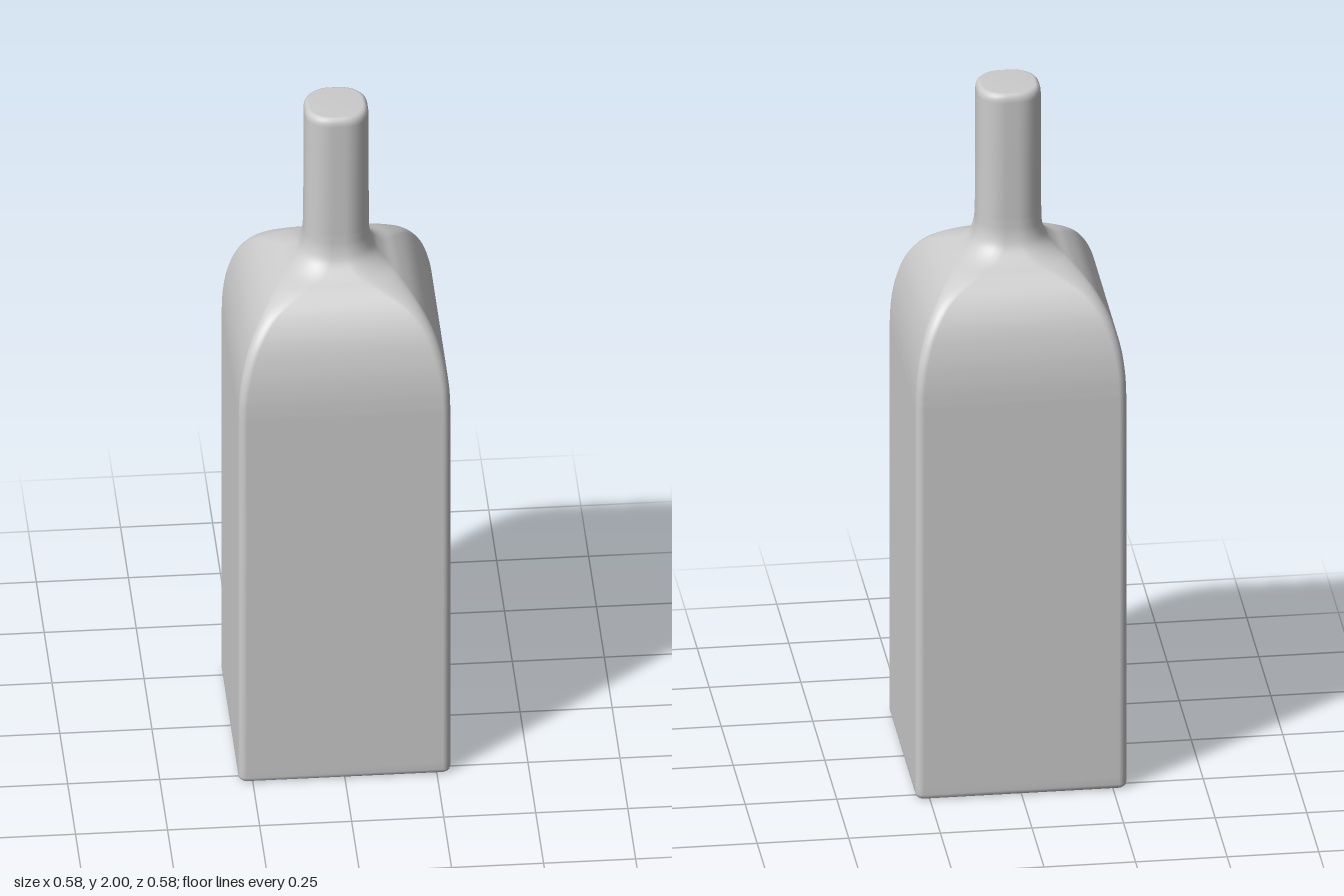
import * as THREE from 'three';

const CORNER_STEPS = 8;

// Rounded-square ring, counter-clockwise seen from above
function ringPoints(half, radius, y) {
  const r = Math.min(radius, half);
  const points = [];
  for (let corner = 0; corner < 4; corner++) {
    const mid = (corner + 0.5) * Math.PI / 2;
    const cx = Math.sign(Math.cos(mid)) * (half - r);
    const cz = -Math.sign(Math.sin(mid)) * (half - r);
    for (let i = 0; i <= CORNER_STEPS; i++) {
      const a = (corner + i / CORNER_STEPS) * Math.PI / 2;
      points.push(cx + r * Math.cos(a), y, cz - r * Math.sin(a));
    }
  }
  return points;
}

// Skin a stack of sections given as (half width, height, corner radius)
function loft(sections) {
  const count = 4 * (CORNER_STEPS + 1);
  const positions = sections.flatMap((s) => ringPoints(s.x, s.z, s.y));
  const index = [];
  for (let i = 0; i < sections.length - 1; i++) {
    for (let j = 0; j < count; j++) {
      const a = i * count + j;
      const b = i * count + (j + 1) % count;
      index.push(a, b, b + count, a, b + count, a + count);
    }
  }
  const geometry = new THREE.BufferGeometry();
  geometry.setAttribute('position', new THREE.Float32BufferAttribute(positions, 3));
  geometry.setIndex(index);
  geometry.computeVertexNormals();
  return geometry;
}

export function createModel() {
  const group = new THREE.Group();
  group.name = 'bottle';
  const section = (half, y, radius) => new THREE.Vector3(half, y, radius);

  // Flat base with a small rounded edge
  const base = [
    section(0, 0, 0), section(0.274, 0, 0.014), section(0.281, 0.002, 0.018),
    section(0.286, 0.007, 0.021), section(0.288, 0.015, 0.022), section(0.288, 0.04, 0.022),
  ];

  // Square shoulder curving in and turning round at the neck
  const shoulder = new THREE.CatmullRomCurve3([
    section(0.288, 1.17, 0.022), section(0.285, 1.235, 0.022), section(0.274, 1.31, 0.024),
    section(0.249, 1.39, 0.028), section(0.211, 1.452, 0.036), section(0.169, 1.492, 0.065),
    section(0.13, 1.518, 0.086), section(0.103, 1.547, 0.08), section(0.091, 1.583, 0.073),
    section(0.088, 1.63, 0.07),
  ]).getPoints(45);

  // Straight neck closed by a softly rounded top
  const neck = [
    section(0.087, 1.8, 0.07), section(0.087, 1.975, 0.07), section(0.086, 1.985, 0.07),
    section(0.083, 1.993, 0.068), section(0.078, 1.998, 0.064), section(0.072, 2, 0.06),
    section(0, 2, 0),
  ];

  const body = new THREE.Mesh(
    loft([...base, ...shoulder, ...neck]),
    new THREE.MeshStandardMaterial({ color: 0xcccccc }),
  );
  body.name = 'bottleBody';
  group.add(body);
  return group;
}
